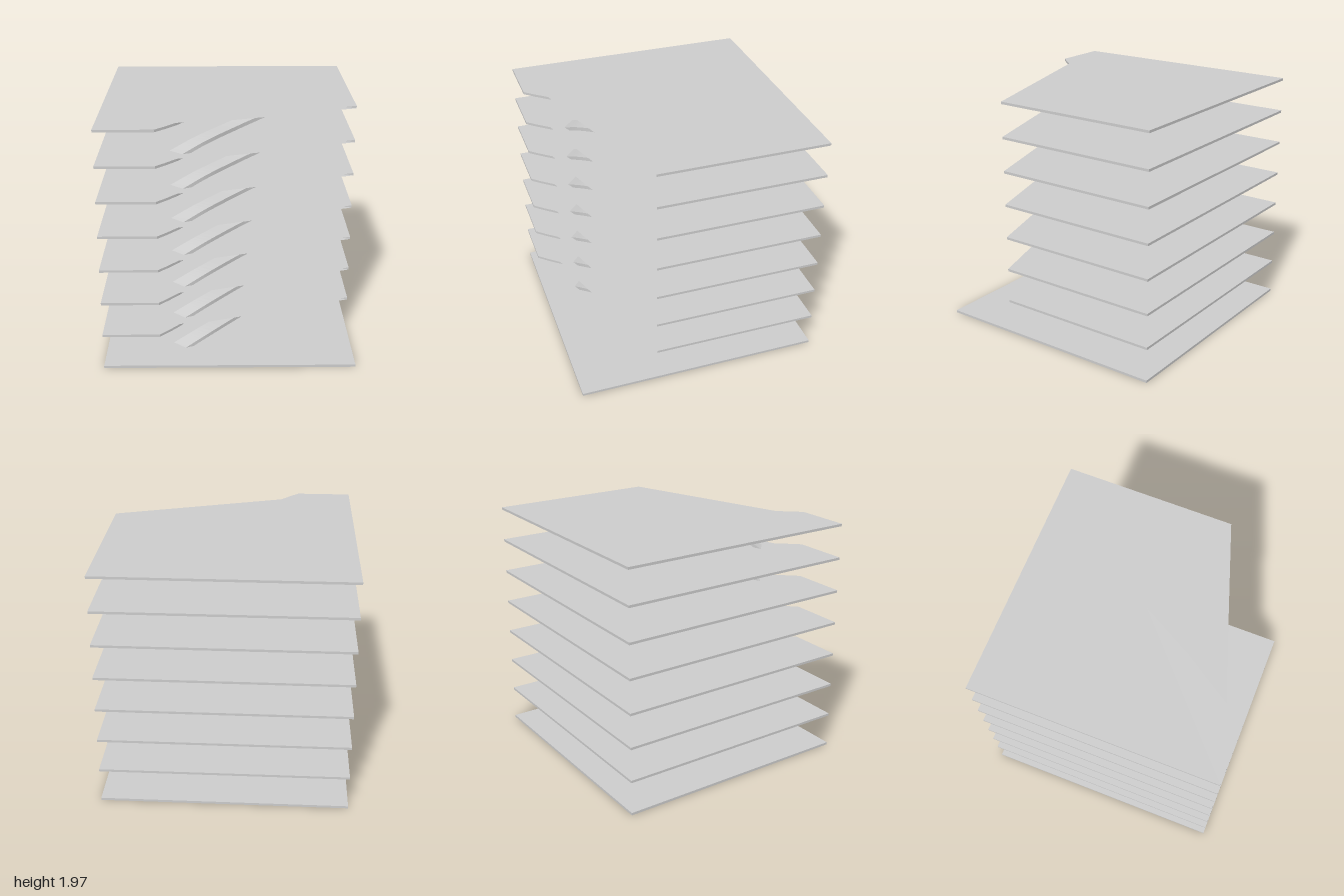
import * as THREE from 'three';

const FLOORS = 8, STEP = 0.279, THICK = 0.02;

// Plan points are [x, z]; shapes are drawn in (x, -z) and laid flat.
const planShape = pts => new THREE.Shape(pts.map(([x, z]) => new THREE.Vector2(x, -z)));

function slabGeometry(pts) {
  const g = new THREE.ExtrudeGeometry(planShape(pts), { depth: THICK, bevelEnabled: false });
  return g.rotateX(-Math.PI / 2);
}

// Ramp: a rectangular section swept between an inner and an outer edge.
function rampGeometry() {
  const inner = new THREE.CatmullRomCurve3([
    [-0.46, 0, 0.63], [-0.28, 0.08, 0.555], [0, 0.145, 0.335], [0.2, 0.2, 0.215], [0.38, STEP, 0.115],
  ].map(p => new THREE.Vector3(...p)));
  const n = 32, depth = 0.03, rings = [], pos = [];
  for (let i = 0; i <= n; i++) {
    const t = i / n, a = inner.getPoint(t);
    const b = a.clone().add(new THREE.Vector3(0.1, 0, 0.09 - 0.045 * t));
    const low = Math.max(a.y - depth, -0.01);
    rings.push([a, b, new THREE.Vector3(b.x, low, b.z), new THREE.Vector3(a.x, low, a.z)]);
  }
  const quad = (a, b, c, d) => [a, b, c, a, c, d].forEach(v => pos.push(v.x, v.y, v.z));
  for (let i = 0; i < n; i++) {
    for (let k = 0; k < 4; k++) {
      const m = (k + 1) % 4;
      quad(rings[i][k], rings[i][m], rings[i + 1][m], rings[i + 1][k]);
    }
  }
  quad(...[...rings[0]].reverse());
  quad(...rings[n]);
  const g = new THREE.BufferGeometry();
  g.setAttribute('position', new THREE.Float32BufferAttribute(pos, 3));
  g.computeVertexNormals();
  return g;
}

export function createModel() {
  const group = new THREE.Group();
  const material = new THREE.MeshStandardMaterial({ color: 0xcccccc });
  const sheet = new THREE.MeshStandardMaterial({ color: 0xcccccc, side: THREE.DoubleSide });
  const add = (name, geometry, y, mat = material) => {
    const mesh = new THREE.Mesh(geometry, mat);
    mesh.name = name;
    mesh.position.y = y;
    group.add(mesh);
  };

  // Corner opening of the upper floors
  const well = [[-0.4, 0.83], [-0.13, 0.41], [0.1, 0], [1, 0.37]];
  const ground = slabGeometry([[-1, 1], [1, 1], [1, -1], [-1, -1]]);
  const upper = slabGeometry([[-1, 1], [-0.55, 1], [-0.48, 0.925], ...well, [1, -1], [-1, -1]]);
  const cover = new THREE.ShapeGeometry(planShape(well)).rotateX(-Math.PI / 2);
  const ramp = rampGeometry();

  for (let i = 0; i < FLOORS; i++) {
    const y = i * STEP;
    add(i ? 'upperFloor' : 'groundFloor', i ? upper : ground, y);
    // Thin skins over the stairwell
    if (i) {
      add('wellSoffit', cover, y, sheet);
      add('wellCover', cover, y + THICK, sheet);
    }
    if (i < FLOORS - 1) add('ramp', ramp, y + THICK, sheet);
  }
  return group;
}
